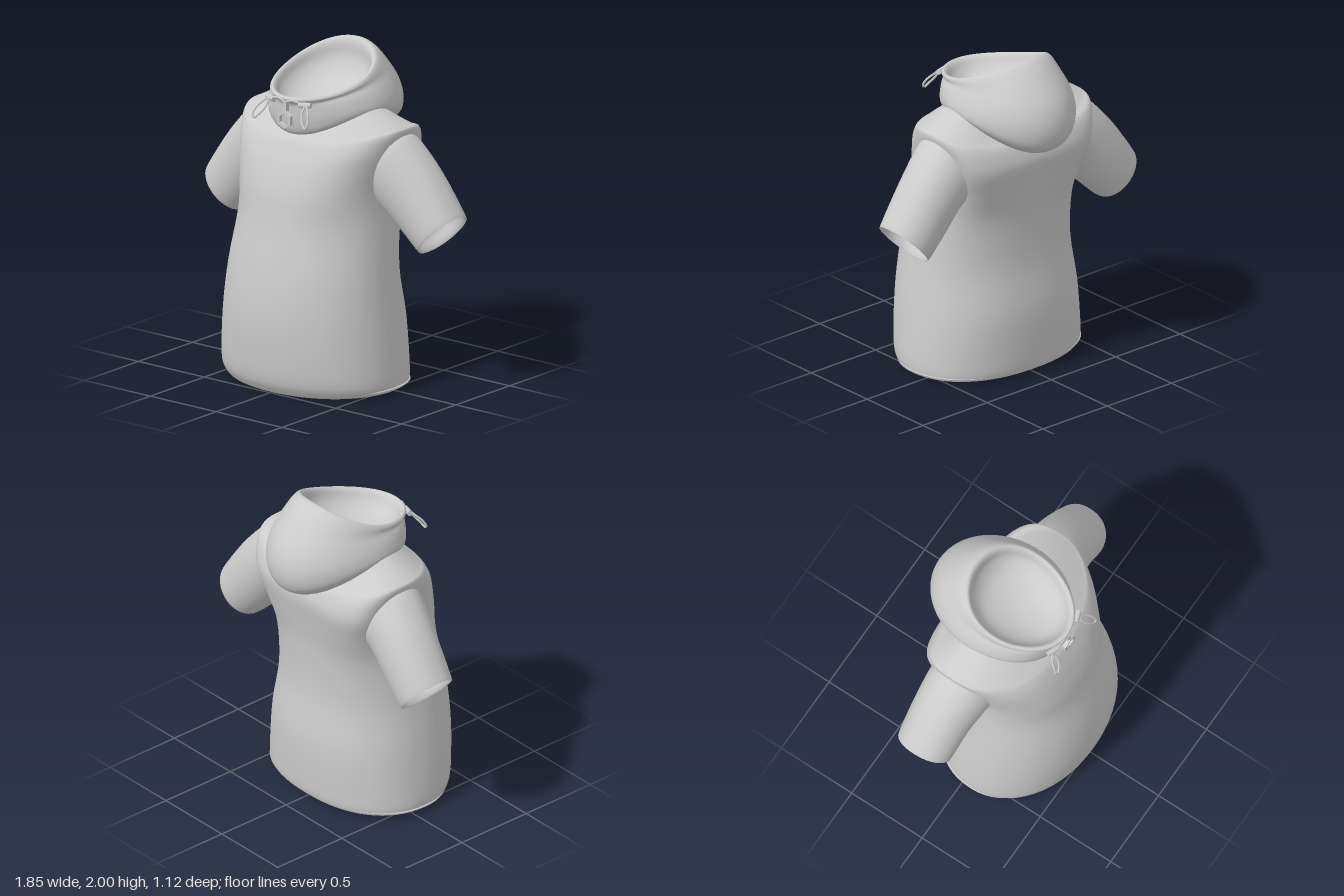
import * as THREE from 'three';

const grey = new THREE.MeshStandardMaterial({ color: 0xcccccc, side: THREE.DoubleSide });
const SEG = 64;

// Smoothly subdivide a list of section rows
function refine(rows, steps = 4) {
  const out = [];
  const last = rows.length - 1;
  for (let i = 0; i < last; i++) {
    const [a, b, c, d] = [i - 1, i, i + 1, i + 2].map(k => rows[Math.min(last, Math.max(0, k))]);
    for (let s = 0; s < steps; s++) {
      const t = s / steps;
      out.push(b.map((v, k) => v + 0.5 * t * (c[k] - a[k]
        + t * (2 * a[k] - 5 * v + 4 * c[k] - d[k] + t * (3 * (v - c[k]) + d[k] - a[k])))));
    }
  }
  out.push(rows[last]);
  return out;
}

// Skin closed sections; point(row, angle) returns [x, y, z]
function loft(name, rows, point) {
  const sections = refine(rows), pos = [], index = [];
  sections.forEach((row, i) => {
    for (let j = 0; j < SEG; j++) {
      pos.push(...point(row, (j / SEG) * Math.PI * 2));
      if (i === 0) continue;
      const k = (j + 1) % SEG, lo = (i - 1) * SEG, hi = i * SEG;
      index.push(lo + j, lo + k, hi + k, lo + j, hi + k, hi + j);
    }
  });
  const g = new THREE.BufferGeometry();
  g.setAttribute('position', new THREE.Float32BufferAttribute(pos, 3));
  g.setIndex(index);
  g.computeVertexNormals();
  return named(name, g);
}

function named(name, geometry) {
  const m = new THREE.Mesh(geometry, grey);
  m.name = name;
  return m;
}

function tube(name, points, radius, closed) {
  const curve = new THREE.CatmullRomCurve3(points.map(p => new THREE.Vector3(...p)), closed);
  return named(name, new THREE.TubeGeometry(curve, 40, radius, 6, closed));
}

const spow = (v, e) => Math.sign(v) * Math.abs(v) ** e;

// Row: half width, side y, front z, front y, back z, back y, side z shift, squareness
const tilted = backSquare => ([w, ys, zf, yf, zb, yb, shift, square], a) => {
  const e = Math.cos(a) < 0 ? square * backSquare : square;
  const s = spow(Math.sin(a), e), c = spow(Math.cos(a), e), side = Math.sin(a) ** 2;
  const y = yb + (yf - yb) * (1 + c) / 2 + (ys - (yf + yb) / 2) * side;
  return [w * s, y, (zf + zb) / 2 + c * (zf - zb) / 2 + shift * side];
};

const level = (y, w, zf, zb, shift = 0, square = 0.96) => [w, y, zf, y, zb, y, shift, square];

export function createModel() {
  const model = new THREE.Group();
  model.name = 'hoodedShirt';

  // Torso, from the closed, turned-in hem up to the neck
  model.add(loft('torso', [
    level(0.045, 0.002, 0.09, 0.088),
    level(0.045, 0.55, 0.46, -0.315),
    [0.572, 0.02, 0.478, 0.0, -0.338, 0.02, 0, 0.96],
    [0.585, 0.03, 0.5, 0.015, -0.35, 0.03, 0, 0.96],
    level(0.11, 0.59, 0.54, -0.36),
    level(0.4, 0.562, 0.565, -0.365),
    level(0.7, 0.522, 0.543, -0.33),
    level(1.0, 0.487, 0.483, -0.335, -0.03, 0.9),
    level(1.2, 0.48, 0.45, -0.365, -0.06, 0.74),
    level(1.36, 0.51, 0.4, -0.393, -0.07, 0.66),
    [0.54, 1.48, 0.36, 1.45, -0.375, 1.45, -0.07, 0.68],
    [0.56, 1.575, 0.335, 1.5, -0.35, 1.5, -0.07, 0.82],
    [0.53, 1.6, 0.32, 1.52, -0.32, 1.52, -0.06, 0.92],
    [0.43, 1.65, 0.305, 1.535, -0.3, 1.53, -0.05, 1],
    [0.34, 1.69, 0.28, 1.55, -0.27, 1.54, -0.05, 1],
  ], tilted(0.9)));

  // Hood: outer bulge, rolled lip, then a shallow bowl inside
  model.add(loft('hood', [
    [0.31, 1.63, 0.28, 1.53, -0.3, 1.48, 0, 1],
    [0.35, 1.655, 0.313, 1.56, -0.42, 1.447, 0, 1],
    [0.366, 1.68, 0.33, 1.63, -0.527, 1.5, 0, 1],
    [0.355, 1.73, 0.335, 1.69, -0.56, 1.62, 0, 1],
    [0.333, 1.78, 0.337, 1.72, -0.53, 1.75, 0, 1],
    [0.308, 1.82, 0.345, 1.74, -0.45, 1.87, -0.02, 1],
    [0.3, 1.845, 0.362, 1.765, -0.36, 1.97, -0.03, 1],
    [0.284, 1.86, 0.35, 1.782, -0.3, 2.0, -0.04, 1],
    [0.265, 1.842, 0.325, 1.768, -0.272, 1.965, -0.04, 1],
    [0.245, 1.785, 0.295, 1.725, -0.262, 1.87, -0.04, 1],
    [0.19, 1.725, 0.245, 1.685, -0.2, 1.77, -0.03, 1],
    [0.1, 1.68, 0.15, 1.665, -0.08, 1.7, 0, 1],
    [0.002, 1.665, 0.042, 1.665, 0.038, 1.665, 0, 1],
  ], tilted(1)));

  for (const side of [1, -1]) {
    const label = side > 0 ? 'left' : 'right';

    // Sleeve row: upper x, y; lower x, y; centre z; half depth
    model.add(loft(label + 'Sleeve', [
      [0.40, 1.48, 0.36, 1.16, -0.06, 0.19],
      [0.47, 1.54, 0.42, 1.12, -0.07, 0.208],
      [0.555, 1.55, 0.475, 1.07, -0.08, 0.202],
      [0.74, 1.365, 0.575, 0.965, -0.1, 0.185],
      [0.914, 1.122, 0.688, 0.858, -0.11, 0.172],
      [0.9, 1.122, 0.69, 0.873, -0.11, 0.16],
      [0.81, 1.19, 0.645, 0.96, -0.105, 0.155],
      [0.721, 1.09, 0.719, 1.088, -0.105, 0.002],
    ], ([x1, y1, x0, y0, z, d], a) => {
      const t = (1 + Math.cos(a)) / 2;
      return [side * (x0 + (x1 - x0) * t), y0 + (y1 - y0) * t, z + d * spow(Math.sin(a), 0.9)];
    }));

    // Cord lock with a hanging loop of cord
    const lock = named(label + 'CordLock', new THREE.CylinderGeometry(0.017, 0.017, 0.075, 12));
    lock.position.set(side * 0.13, 1.747, 0.335);
    lock.rotation.set(0, side * 0.35, Math.PI / 2 + side * 0.08);
    model.add(lock);
    model.add(tube(label + 'CordLoop', [[0.14, 1.745, 0.345], [0.138, 1.7, 0.375], [0.165, 1.655, 0.405],
      [0.195, 1.632, 0.415], [0.207, 1.65, 0.412], [0.195, 1.69, 0.39], [0.165, 1.73, 0.355],
    ].map(([x, y, z]) => [side * x, y, z]), 0.007, true));
  }

  // Drawcord between the locks
  model.add(tube('drawcord', [[-0.1, 1.755, 0.345], [-0.05, 1.765, 0.356], [0, 1.75, 0.36],
    [0.05, 1.765, 0.356], [0.1, 1.755, 0.345]], 0.007, false));

  // Zip slider and hexagonal pull at the throat
  const slider = named('zipSlider', new THREE.BoxGeometry(0.02, 0.055, 0.03));
  slider.position.set(0, 1.718, 0.352);
  model.add(slider);
  const hexagon = (Type, r) => new Type(Array.from({ length: 6 }, (_, i) =>
    new THREE.Vector2(r * Math.sin(i * Math.PI / 3), r * Math.cos(i * Math.PI / 3))));
  const ring = hexagon(THREE.Shape, 0.056);
  ring.holes.push(hexagon(THREE.Path, 0.036));
  const pull = named('zipPull', new THREE.ExtrudeGeometry(ring, { depth: 0.022, bevelEnabled: false }));
  pull.position.set(0, 1.643, 0.352);
  model.add(pull);

  return model;
}
